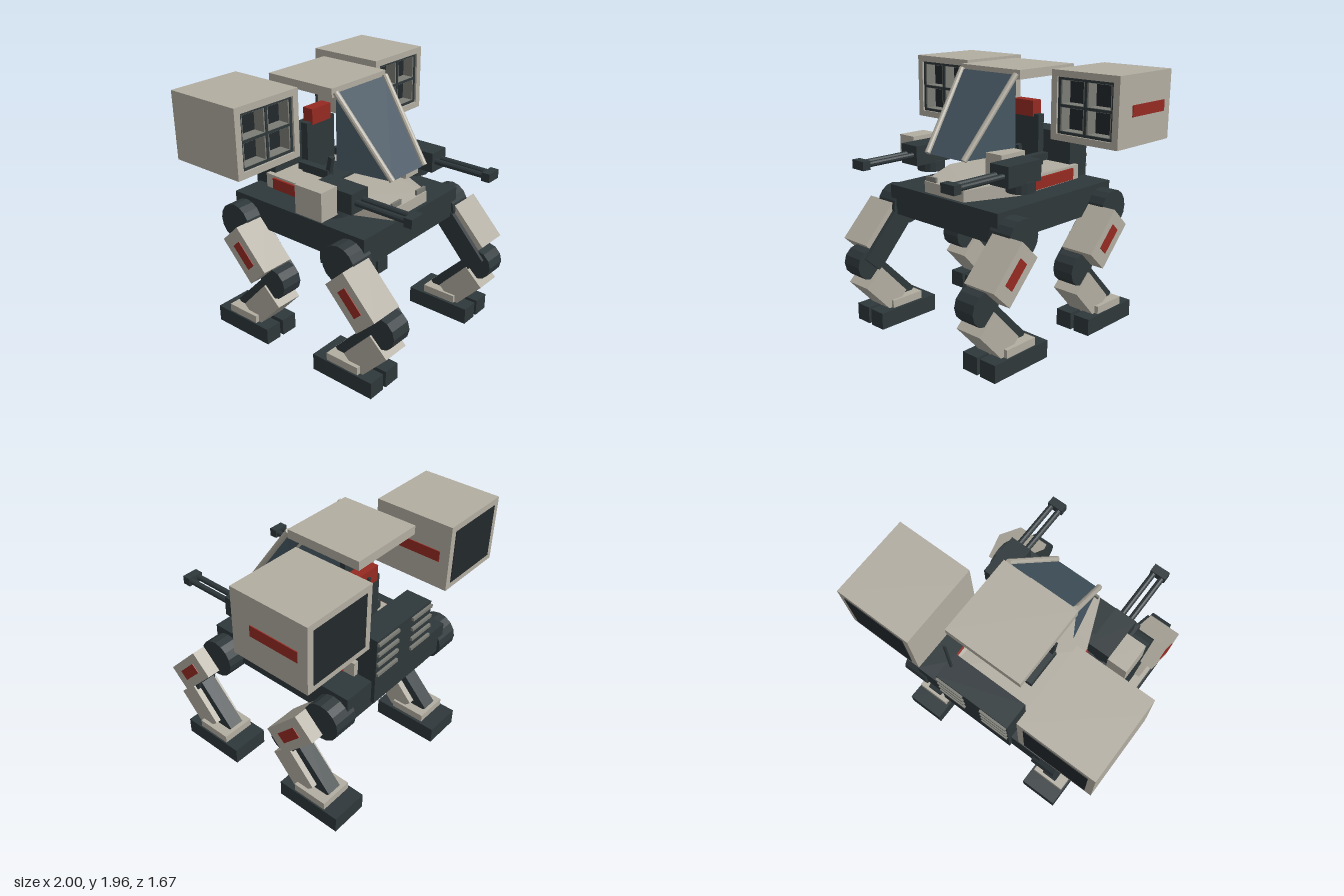
import * as THREE from 'three';

const mat = (color, side = THREE.FrontSide) => new THREE.MeshStandardMaterial({ color, side, flatShading: true });
const LIGHT = mat(0xb2ada1), DARK = mat(0x2e373a), RED = mat(0x962a22), BLACK = mat(0x22282b), GREY = mat(0x7c7c76);
const GLASS = mat(0x455662, THREE.DoubleSide);

function add(parent, name, geometry, material) {
  const m = new THREE.Mesh(geometry, material);
  m.name = name;
  parent.add(m);
  return m;
}

// Box given by its extents on each axis
function box(parent, name, material, [x0, x1], [y0, y1], [z0, z1]) {
  const m = add(parent, name, new THREE.BoxGeometry(Math.abs(x1 - x0), y1 - y0, Math.abs(z1 - z0)), material);
  m.position.set((x0 + x1) / 2, (y0 + y1) / 2, (z0 + z1) / 2);
  return m;
}

// Box running between two [z, y] points in the side plane
function beam(parent, name, material, [x0, x1], a, b, thick) {
  const dz = b[0] - a[0], dy = b[1] - a[1];
  const m = add(parent, name, new THREE.BoxGeometry(Math.abs(x1 - x0), Math.hypot(dz, dy), thick), material);
  m.position.set((x0 + x1) / 2, (a[1] + b[1]) / 2, (a[0] + b[0]) / 2);
  m.rotation.x = Math.atan2(dz, dy);
  return m;
}

// Round bar between two points
function rod(parent, name, material, a, b, r, sides = 10) {
  const p = new THREE.Vector3(...a), q = new THREE.Vector3(...b);
  const m = add(parent, name, new THREE.CylinderGeometry(r, r, p.distanceTo(q), sides), material);
  m.position.copy(p).add(q).multiplyScalar(0.5);
  m.quaternion.setFromUnitVectors(new THREE.Vector3(0, 1, 0), q.sub(p).normalize());
  return m;
}

// Rectangular frame with rectangular holes, extruded along z
function frame(parent, name, material, w, h, holes, depth) {
  const rect = (T, cx, cy, rw, rh) => new T([[-1, -1], [1, -1], [1, 1], [-1, 1]]
    .map(([u, v]) => new THREE.Vector2(cx + u * rw / 2, cy + v * rh / 2)));
  const shape = rect(THREE.Shape, 0, 0, w, h);
  shape.holes = holes.map(o => rect(THREE.Path, ...o));
  return add(parent, name, new THREE.ExtrudeGeometry(shape, { depth, bevelEnabled: false }), material);
}

function makeLeg(s, dz) {
  const g = new THREE.Group();
  g.name = 'leg';
  g.position.z = dz;
  const X = (a, b) => [s * a, s * b];
  const hip = [0.355, 0.905], knee = [0.715, 0.515], ankle = [0.36, 0.15];
  rod(g, 'hipJoint', DARK, [s * 0.49, hip[1], hip[0]], [s * 0.68, hip[1], hip[0]], 0.143, 16);
  beam(g, 'thighStrut', DARK, X(0.485, 0.68), hip, knee, 0.17);
  beam(g, 'thighArmour', LIGHT, X(0.52, 0.785), [0.412, 0.875], [0.678, 0.596], 0.208);
  beam(g, 'thighStripe', RED, X(0.78, 0.791), [0.476, 0.813], [0.618, 0.665], 0.08);
  rod(g, 'kneeJoint', DARK, [s * 0.51, knee[1], knee[0]], [s * 0.68, knee[1], knee[0]], 0.12, 12);
  beam(g, 'shinStrut', DARK, X(0.53, 0.65), knee, ankle, 0.17);
  beam(g, 'shinArmour', LIGHT, X(0.48, 0.695), [0.715, 0.413], [0.485, 0.165], 0.195);
  box(g, 'ankleBlock', LIGHT, X(0.46, 0.725), [0.13, 0.19], [0.28, 0.56]);
  box(g, 'heel', DARK, X(0.437, 0.737), [0, 0.13], [0.16, 0.45]);
  box(g, 'innerToe', DARK, X(0.437, 0.572), [0, 0.13], [0.45, 0.69]);
  box(g, 'outerToe', DARK, X(0.602, 0.737), [0, 0.13], [0.45, 0.69]);
  return g;
}

function makeLauncher(s) {
  const g = new THREE.Group();
  g.name = 'launcher';
  g.position.set(s * 0.708, 1.708, 0);
  const w = 0.575, h = 0.495, W = 0.475, H = 0.4;
  const cells = [];
  for (const u of [-1, 1]) for (const v of [-1, 1]) cells.push([u * 0.114, v * 0.095]);
  frame(g, 'launcherFrontFrame', LIGHT, w, h, [[0, 0, W, H]], 0.12).position.z = -0.325;
  box(g, 'launcherBody', LIGHT, [-w / 2, w / 2], [-h / 2, h / 2], [-0.815, -0.325]);
  box(g, 'tubeBacking', BLACK, [-W / 2, W / 2], [-H / 2, H / 2], [-0.325, -0.315]);
  frame(g, 'tubeLattice', DARK, W, H, cells.map(c => [...c, 0.208, 0.172]), 0.1).position.z = -0.32;
  // Pale lining of each tube
  for (const [cx, cy] of cells)
    frame(g, 'tubeLining', GREY, 0.207, 0.171, [[0, 0, 0.185, 0.165]], 0.09).position.set(cx, cy, -0.315);
  box(g, 'rearPanel', BLACK, [-W / 2, W / 2], [-H / 2, H / 2], [-0.82, -0.81]);
  box(g, 'launcherStripe', RED, [0.28, 0.294], [-0.04, 0.04], [-0.74, -0.36]);
  return g;
}

function makeGun(s) {
  const g = new THREE.Group();
  g.name = 'gun';
  g.position.x = s * 0.46;
  rod(g, 'gunTurntable', DARK, [0, 1.155, 0.15], [0, 1.235, 0.15], 0.105, 16);
  box(g, 'gunHousing', DARK, [-0.085, 0.085], [1.225, 1.375], [0.035, 0.365]);
  // The pale box sits on the same side of both guns
  box(g, 'ammoBox', LIGHT, [-0.245, -0.09], [1.195, 1.405], [0.01, 0.245]);
  for (const u of [-1, 1]) rod(g, 'barrel', DARK, [u * 0.035, 1.3, 0.36], [u * 0.035, 1.3, 0.78], 0.022);
  box(g, 'muzzle', DARK, [-0.062, 0.062], [1.267, 1.332], [0.77, 0.835]);
  return g;
}

// Pale hull with chamfered front corners and a sloping nose
function hullGeometry() {
  const outline = [[0.2, 0.445], [0.36, 0.05], [0.34, -0.64]];
  const pts = [...outline, ...outline.slice().reverse().map(([x, z]) => [-x, z])];
  const geo = new THREE.ExtrudeGeometry(new THREE.Shape(pts.map(([x, z]) => new THREE.Vector2(x, -z))),
    { depth: 0.11, bevelEnabled: false });
  geo.rotateX(-Math.PI / 2).translate(0, 1.08, 0);
  const p = geo.attributes.position;
  for (let i = 0; i < p.count; i++) if (p.getY(i) > 1.15 && p.getZ(i) > 0.4) p.setY(i, 1.162);
  geo.computeVertexNormals();
  return geo;
}

// Windscreen and triangular side windows
function glassGeometry() {
  const v = [-0.185, 1.36, 0.42, 0.185, 1.36, 0.42, 0.27, 1.92, 0, -0.27, 1.92, 0, 0.27, 1.37, 0, -0.27, 1.37, 0];
  const geo = new THREE.BufferGeometry();
  geo.setAttribute('position', new THREE.Float32BufferAttribute(v, 3));
  geo.setIndex([0, 1, 2, 0, 2, 3, 1, 4, 2, 0, 3, 5]);
  const flat = geo.toNonIndexed();
  flat.computeVertexNormals();
  return flat;
}

export function createModel() {
  const root = new THREE.Group();
  root.name = 'walker';
  root.position.x = -0.005;

  // Chassis and hull
  box(root, 'chassis', DARK, [-0.55, 0.55], [0.86, 1.08], [-0.76, 0.475]);
  add(root, 'hull', hullGeometry(), LIGHT);

  // Engine pack with vents and aerial
  box(root, 'enginePack', DARK, [-0.3, 0.3], [0.9, 1.43], [-0.787, -0.585]);
  for (const s of [-1, 1]) for (const y of [1.15, 1.233, 1.316, 1.4])
    box(root, 'ventSlat', GREY, [s * 0.075, s * 0.295], [y - 0.012, y + 0.012], [-0.805, -0.78]);
  rod(root, 'aerial', DARK, [0.265, 1.43, -0.67], [0.265, 1.85, -0.67], 0.011, 8);

  // Cockpit
  add(root, 'canopyGlass', glassGeometry(), GLASS);
  box(root, 'roof', LIGHT, [-0.293, 0.293], [1.887, 1.953], [-0.61, -0.015]);
  box(root, 'seatBase', DARK, [-0.145, 0.145], [1.185, 1.2], [-0.45, -0.13]);
  box(root, 'seatBack', DARK, [-0.148, 0.148], [1.19, 1.58], [-0.45, -0.39]);
  box(root, 'headrest', RED, [-0.1, 0.1], [1.56, 1.68], [-0.47, -0.38]);

  for (const s of [-1, 1]) {
    const X = (a, b) => [s * a, s * b];
    rod(root, 'canopyPillar', LIGHT, [s * 0.185, 1.365, 0.425], [s * 0.268, 1.925, -0.003], 0.022);
    box(root, 'armrest', DARK, X(0.16, 0.222), [1.245, 1.3], [-0.42, -0.13]);
    beam(root, 'controlStick', DARK, X(0.175, 0.21), [-0.145, 1.28], [-0.115, 1.405], 0.035);
    const stripe = box(root, 'hullStripe', RED, X(0.35, 0.368), [1.09, 1.175], [-0.555, 0.06]);
    stripe.rotation.y = s * 0.02;
    box(root, 'noseLamp', GREY, X(0.09, 0.195), [1.16, 1.2], [0.42, 0.437]);
    for (const dz of [0, -0.997]) root.add(makeLeg(s, dz));
    root.add(makeGun(s), makeLauncher(s));
  }
  const model = new THREE.Group();
  model.name = 'model';
  model.add(root);
  return model;
}
